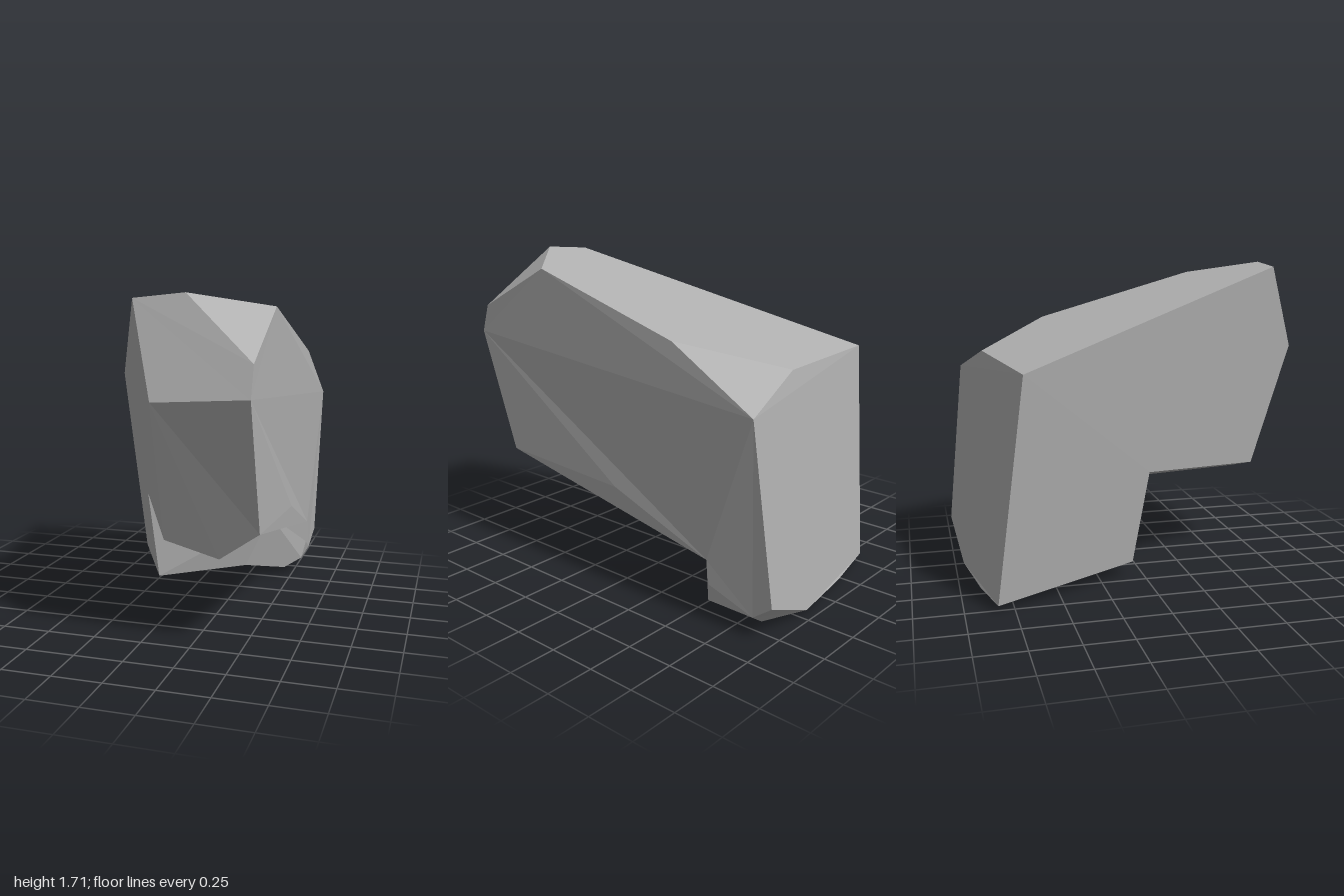
import * as THREE from 'three';

// Corners of the boulder, grouped by region
const corners = {
  // crown
  crownLeft: [-0.01, 1.68, 0.8], crownMid: [0.25, 1.705, 0.81], crownRight: [0.6, 1.64, 0.48],
  ridgeRight: [0.605, 1.38, -0.42], ridgeBack: [0.19, 1.23, -0.82],
  // brow and overhang at the front
  browRight: [0.6, 1.4, 0.95], noseRight: [0.6, 1.25, 1], noseLeft: [0.13, 1.22, 0.97],
  chinLeft: [0.12, 0.53, 0.742], chinMid: [0.39, 0.45, 0.72], chinRight: [0.597, 0.6, 0.77],
  // notch under the overhang
  notchLeft: [-0.215, 0.59, 0.026], notchMid: [0.39, 0.39, -0.45],
  notchSide: [0.597, 0.56, -0.02], notchRight: [0.585, 0.33, -0.62],
  // foot
  footSide: [0.578, 0.2, -0.63], footCorner: [0.555, 0.1, -0.61], footTip: [0.46, 0.045, -0.56],
  footMid: [0.25, 0.08, -0.42], footLeft: [-0.18, 0.08, -0.06],
  heelSide: [0.555, 0.1, -0.88], heel: [0.41, 0, -0.83],
  // back
  backTopLeft: [-0.63, 1.2, -0.7], backTopRight: [0.62, 1.1, -0.91],
  backLowRight: [0.57, 0.19, -1], backLowMid: [0.2, 0.02, -0.955],
  backLowInner: [-0.2, 0.015, -0.895], backLowLeft: [-0.53, 0.035, -0.835],
};

// Flat cuts, corners counter-clockwise seen from outside
const cuts = [
  'crownLeft crownMid crownRight ridgeRight ridgeBack backTopLeft',
  'ridgeRight backTopRight ridgeBack',
  'crownMid browRight crownRight',
  'crownLeft noseLeft noseRight browRight crownMid',
  'noseLeft chinLeft chinMid chinRight noseRight',
  'crownRight browRight noseRight chinRight notchSide notchRight footSide footCorner heelSide backLowRight backTopRight ridgeRight',
  'notchLeft notchMid chinMid chinLeft',
  'chinRight chinMid notchMid notchRight notchSide',
  'notchMid notchLeft footLeft footMid footTip footCorner footSide notchRight',
  'footTip footMid footLeft backLowLeft backLowInner backLowMid heel',
  'footCorner footTip heel heelSide',
  'heelSide heel backLowMid backLowRight',
  'backTopRight backLowRight backLowMid backLowInner backLowLeft backTopLeft ridgeBack',
  'backTopLeft backLowLeft footLeft notchLeft chinLeft noseLeft crownLeft',
];

// Triangulate one cut in its own plane
function triangulate(points) {
  const normal = new THREE.Vector3();
  points.forEach((p, i) => {
    normal.add(new THREE.Vector3().crossVectors(p, points[(i + 1) % points.length]));
  });
  normal.normalize();
  const u = points[1].clone().sub(points[0]).projectOnPlane(normal).normalize();
  const v = new THREE.Vector3().crossVectors(normal, u);
  const flat = points.map((p) => new THREE.Vector2(p.dot(u), p.dot(v)));
  return THREE.ShapeUtils.triangulateShape(flat, []).flat().map((i) => points[i]);
}

export function createModel() {
  const stone = new THREE.MeshStandardMaterial({ color: 0xb0b0b0 });
  stone.name = 'stone grey';
  stone.flatShading = true;

  const triangles = cuts.flatMap((cut) =>
    triangulate(cut.split(' ').map((name) => new THREE.Vector3(...corners[name]))));
  const geometry = new THREE.BufferGeometry().setFromPoints(triangles);
  geometry.computeVertexNormals();

  const boulder = new THREE.Mesh(geometry, stone);
  boulder.name = 'boulder';
  const group = new THREE.Group();
  group.name = 'rock';
  group.add(boulder);
  return group;
}
